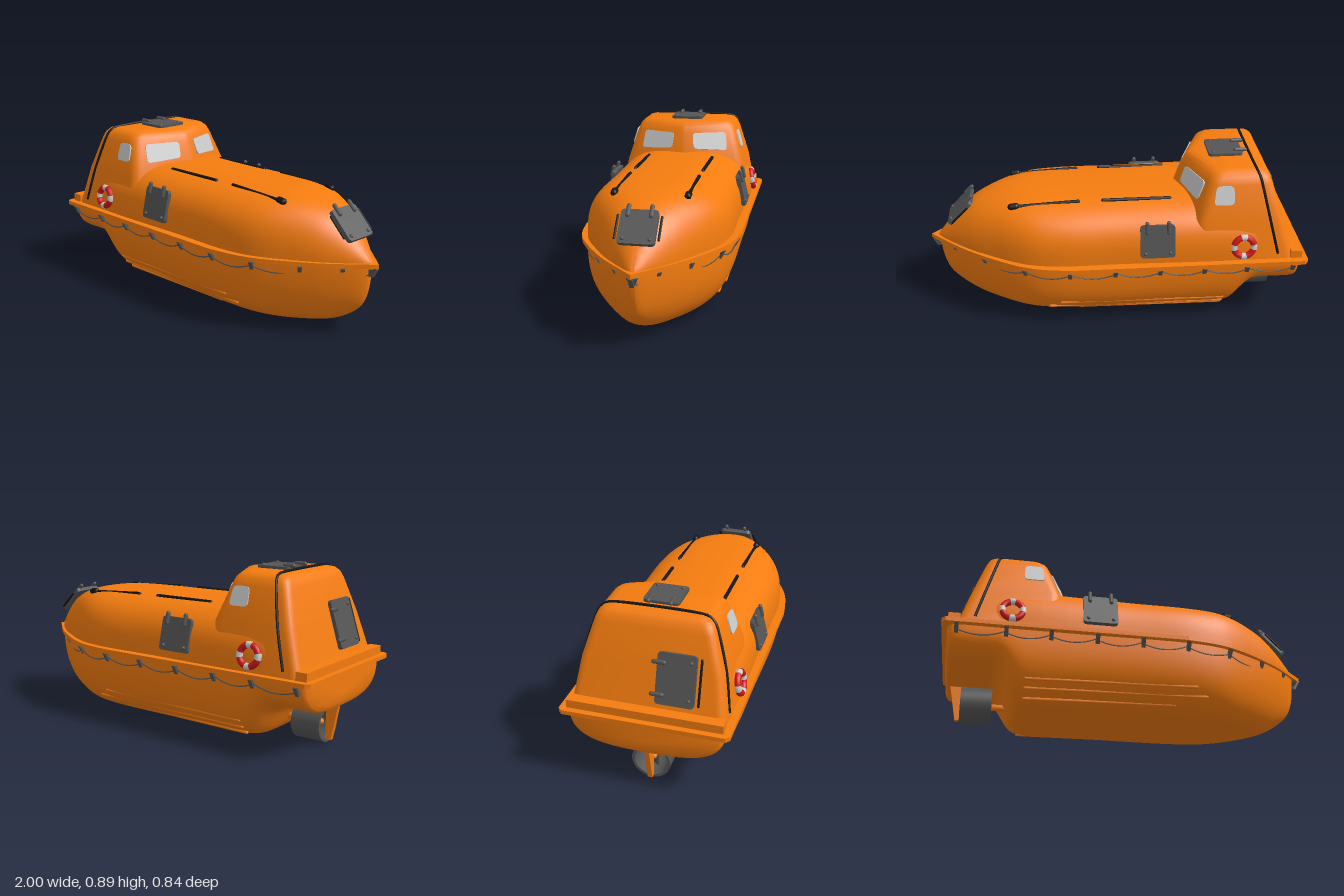
import * as THREE from 'three';
import { toCreasedNormals } from 'three/addons/utils/BufferGeometryUtils.js';

const V = (x, y, z) => new THREE.Vector3(x, y, z);
const mat = (color) => new THREE.MeshStandardMaterial({ color, side: THREE.DoubleSide });
const orange = mat(0xf57c0f), dark = mat(0x555555), black = mat(0x151515);
const glass = mat(0xcccccc), red = mat(0xd01818), white = mat(0xdddddd);

function add(parent, name, geometry, material) {
  const m = new THREE.Mesh(geometry, material);
  m.name = name;
  parent.add(m);
  return m;
}

// Skin over a row of closed rings, with flat end caps
function loft(rings, crease = 0.6) {
  const n = rings[0].length, pos = [], idx = [];
  rings.forEach((r) => r.forEach((p) => pos.push(p.x, p.y, p.z)));
  for (let i = 0; i < rings.length - 1; i++) {
    for (let j = 0; j < n; j++) {
      const a = i * n + j, b = i * n + (j + 1) % n;
      idx.push(a, b, b + n, a, b + n, a + n);
    }
  }
  [0, rings.length - 1].forEach((k) => {
    const c = V(0, 0, 0);
    rings[k].forEach((p) => c.addScaledVector(p, 1 / n));
    const ci = pos.length / 3;
    pos.push(c.x, c.y, c.z);
    for (let j = 0; j < n; j++) {
      const a = k * n + j, b = k * n + (j + 1) % n;
      if (k === 0) idx.push(ci, b, a); else idx.push(ci, a, b);
    }
  });
  const g = new THREE.BufferGeometry();
  g.setAttribute('position', new THREE.Float32BufferAttribute(pos, 3));
  g.setIndex(idx);
  return toCreasedNormals(g, crease);
}

// Shell of squarish half-ovals; each station is [x, half width, extreme height]
function shell(stations, up) {
  const pts = new THREE.CatmullRomCurve3(stations.map((s) => V(...s)), false, 'centripetal').getPoints(stations.length * 6);
  return loft(pts.map(({ x, y: w, z: h }) => {
    const e = 2 / THREE.MathUtils.lerp(3, 2, THREE.MathUtils.smoothstep(x, 0.4, 0.95));
    return Array.from({ length: 41 }, (_, k) => {
      const a = (k / 40) * Math.PI, c = Math.cos(a);
      const z = Math.sign(c) * Math.abs(c) ** e * Math.max(w, 0.0005);
      return V(x, 0.39 + (h - 0.39) * Math.max(Math.sin(a), 0) ** e, up ? -z : z);
    });
  }));
}

// Horizontal ring with rounded corners for the cabin
function cabinRing([y, w, xb, xs, xf]) {
  const c = [V(xf, y, 0), V(xs, y, -w), V(xb, y, -w), V(xb, y, w), V(xs, y, w)];
  return c.flatMap((p, i) => {
    const r = i ? 0.045 : 0.008;
    const toward = (q) => p.clone().add(q.clone().sub(p).setLength(r));
    return new THREE.QuadraticBezierCurve3(toward(c[(i + 4) % 5]), p, toward(c[(i + 1) % 5])).getPoints(5);
  });
}

function roundedPlate(corners, r, depth) {
  const s = new THREE.Shape(), n = corners.length;
  const p = corners.map((c) => new THREE.Vector2(...c));
  p.forEach((q, i) => {
    const toward = (o) => q.clone().add(o.clone().sub(q).setLength(r));
    const a = toward(p[(i + n - 1) % n]), b = toward(p[(i + 1) % n]);
    if (i) s.lineTo(a.x, a.y); else s.moveTo(a.x, a.y);
    s.quadraticCurveTo(q.x, q.y, b.x, b.y);
  });
  s.closePath();
  return new THREE.ExtrudeGeometry(s, { depth, bevelEnabled: false, curveSegments: 5 }).translate(0, 0, -depth / 2);
}
const rect = (w, h) => [[-w / 2, -h / 2], [w / 2, -h / 2], [w / 2, h / 2], [-w / 2, h / 2]];

// Sets an object on a surface: local z along the normal, local y along up
function place(obj, p, normal, up) {
  const z = normal.clone().normalize(), x = up.clone().cross(z).normalize();
  obj.quaternion.setFromRotationMatrix(new THREE.Matrix4().makeBasis(x, z.clone().cross(x), z));
  obj.position.copy(p);
  return obj;
}

function rod(parent, name, a, b, r, material) {
  const d = b.clone().sub(a);
  const m = add(parent, name, new THREE.CapsuleGeometry(r, d.length(), 4, 8), material);
  m.position.copy(a).lerp(b, 0.5);
  m.quaternion.setFromUnitVectors(V(0, 1, 0), d.normalize());
}

function hatch(parent, name, w, h, p, normal, up, bars = []) {
  const g = new THREE.Group();
  g.name = name;
  add(g, 'hatchPlate', roundedPlate(rect(w, h), 0.02, 0.022), dark);
  [-1, 1].forEach((s) => {
    rod(g, 'hatchHinge', V(s * w * 0.31, h / 2 - 0.035, 0.016), V(s * w * 0.31, h / 2 + 0.015, 0.016), 0.011, dark);
    add(g, 'hatchBolt', new THREE.SphereGeometry(0.01, 10, 6), dark).position.set(s * w * 0.36, -h * 0.36, 0.011);
  });
  bars.forEach(([x1, y1, x2, y2]) => rod(g, 'grabBar', V(x1, y1, 0), V(x2, y2, 0), 0.006, black));
  parent.add(place(g, p, normal, up));
}

export function createModel() {
  const boat = new THREE.Group();
  boat.name = 'lifeboat';

  // Hull, canopy and cabin
  add(boat, 'hull', shell([
    [-0.97, 0.345, 0.23], [-0.955, 0.375, 0.205], [-0.93, 0.385, 0.2], [-0.74, 0.385, 0.196], [-0.7, 0.385, 0.165],
    [-0.62, 0.385, 0.04], [-0.58, 0.385, 0.018], [-0.3, 0.385, 0.012], [0.28, 0.385, 0.012], [0.45, 0.355, 0.015],
    [0.6, 0.285, 0.025], [0.75, 0.195, 0.055], [0.85, 0.12, 0.11], [0.91, 0.065, 0.17], [0.94, 0.03, 0.25], [0.957, 0, 0.385],
  ], false), orange);
  add(boat, 'canopy', shell([
    [-0.8, 0.345, 0.67], [-0.74, 0.374, 0.686], [0, 0.376, 0.688], [0.3, 0.376, 0.686], [0.45, 0.352, 0.683], [0.55, 0.312, 0.674],
    [0.66, 0.25, 0.65], [0.75, 0.195, 0.612], [0.83, 0.135, 0.55], [0.9, 0.075, 0.475], [0.945, 0.03, 0.42], [0.965, 0, 0.393],
  ], true), orange);
  add(boat, 'cabin', loft([
    [0.39, 0.385, -0.93, -0.42, -0.3], [0.62, 0.348, -0.86, -0.42, -0.305], [0.8, 0.295, -0.805, -0.485, -0.365],
    [0.835, 0.28, -0.79, -0.498, -0.38], [0.855, 0.258, -0.772, -0.515, -0.4], [0.863, 0.225, -0.745, -0.54, -0.43],
  ].map(cabinRing)), orange);

  // Gunwale
  const bow = [[0.25, 0.42], [0.42, 0.392], [0.57, 0.33], [0.78, 0.195], [0.93, 0.065], [1, 0]].map((p) => new THREE.Vector2(...p));
  const edge = [new THREE.Vector2(-1, 0.4), new THREE.Vector2(-0.98, 0.42), ...new THREE.SplineCurve(bow).getPoints(30)];
  const far = edge.slice(0, -1).reverse().map((p) => new THREE.Vector2(p.x, -p.y));
  const rim = new THREE.ExtrudeGeometry(new THREE.Shape([...edge, ...far]), { depth: 0.022, bevelEnabled: false });
  add(boat, 'gunwale', rim.rotateX(Math.PI / 2), orange).position.y = 0.4;
  const edgeZ = (x) => {
    const i = Math.min(Math.max(edge.findIndex((p) => p.x >= x), 1), edge.length - 1), a = edge[i - 1], b = edge[i];
    return THREE.MathUtils.lerp(a.y, b.y, (x - a.x) / (b.x - a.x));
  };
  add(boat, 'sternSill', new THREE.BoxGeometry(0.06, 0.045, 0.77), orange).position.set(-0.94, 0.42, 0);

  // Black band over the cabin
  const half = [[-0.84, 0.43, 0.38], [-0.79, 0.62, 0.35], [-0.745, 0.8, 0.297], [-0.735, 0.837, 0.28], [-0.725, 0.858, 0.253], [-0.72, 0.865, 0.215]];
  const band = [...half.map((p) => V(...p)), ...half.slice().reverse().map(([x, y, z]) => V(x, y, -z))];
  add(boat, 'cabinBand', new THREE.TubeGeometry(new THREE.CatmullRomCurve3(band, false, 'centripetal'), 90, 0.007, 8), black);

  // Hatches on roof, bow and stern
  hatch(boat, 'roofHatch', 0.18, 0.18, V(-0.59, 0.866, 0), V(0, 1, 0), V(-1, 0, 0));
  hatch(boat, 'bowHatch', 0.18, 0.18, V(0.825, 0.57, 0), V(0.72, 0.7, 0), V(-0.7, 0.72, 0),
    [-1, 1].map((s) => [s * 0.105, -0.06, s * 0.105, 0.06]));
  hatch(boat, 'sternHatch', 0.25, 0.19, V(-0.878, 0.59, 0.135), V(-0.95, 0.3, 0), V(0, 0, -1), [[-0.11, -0.115, 0.11, -0.115]]);

  // Parts repeated on both sides
  const bracketX = [-0.925, -0.68, -0.455, -0.22, 0.015, 0.255, 0.495, 0.71, 0.875, 0.975];
  [1, -1].forEach((s) => {
    hatch(boat, 'sideHatch', 0.18, 0.175, V(-0.205, 0.528, s * 0.371), V(0, 0.24, s), V(0, 1, 0));

    // Windows
    const frontWindow = roundedPlate([[-0.1, s > 0 ? -0.042 : -0.058], [0.1, s > 0 ? -0.058 : -0.042], [0.1, 0.05], [-0.1, 0.05]].map(([x, y]) => [-x, y]).reverse(), 0.022, 0.01);
    boat.add(place(add(boat, 'frontWindow', frontWindow, glass), V(-0.406, 0.75, s * 0.152), V(0.0558, 0.0223, s * 0.0214), V(0, 1, 0)));
    const sideWindow = roundedPlate([[-0.05 - (s < 0 ? 0.008 : 0), -0.05], [0.05 + (s > 0 ? 0.008 : 0), -0.05], [0.045, 0.05], [-0.045, 0.05]], 0.025, 0.01);
    place(add(boat, 'sideWindow', sideWindow, glass), V(-0.553, 0.75, s * 0.311), V(0, 0.28, s * 0.96), V(0, 1, 0));

    // Life ring in red and white sections
    const ring = new THREE.Group();
    ring.name = 'lifeRing';
    for (let k = 0; k < 4; k++) {
      const q = (k * Math.PI) / 2;
      add(ring, 'ringRed', new THREE.TorusGeometry(0.052, 0.017, 10, 10, 1.05), red).rotation.z = q + 0.26;
      add(ring, 'ringWhite', new THREE.TorusGeometry(0.052, 0.0175, 10, 6, 0.53), white).rotation.z = q - 0.26;
    }
    boat.add(place(ring, V(-0.655, 0.483, s * 0.386), V(0, 0.18, s), V(0, 1, 0)));

    // Handrails on the canopy top
    rod(boat, 'topRail', V(-0.285, 0.677, s * 0.185), V(0.065, 0.677, s * 0.185), 0.01, black);
    rod(boat, 'topRail', V(0.195, 0.676, s * 0.185), V(0.54, 0.657, s * 0.185), 0.01, black);
    rod(boat, 'railEnd', V(0.52, 0.661, s * 0.185), V(0.545, 0.658, s * 0.185), 0.018, black);

    // Bilge strakes
    [[0.15, 0.346, 0.3], [0.11, 0.318, 0.36], [0.07, 0.276, 0.2]].forEach(([y, z, end]) =>
      rod(boat, 'bilgeStrake', V(-0.57, y - 0.015, s * (z - 0.01)), V(end, y, s * z), 0.009, orange));

    // Brackets and looped grab line below the gunwale
    bracketX.forEach((x, i) => {
      const dz = edgeZ(x + 0.01) - edgeZ(x - 0.01), out = V(-dz, 0, s * 0.02).normalize();
      const p = V(x, 0.354, s * edgeZ(x)).addScaledVector(out, -0.022);
      const bracket = add(boat, 'lineBracket', new THREE.BoxGeometry(0.02, 0.052, 0.016), dark);
      place(bracket, p, out.clone().add(V(0, -0.55, 0)), V(0, 1, 0));
      if (i === bracketX.length - 1) return;
      const x2 = bracketX[i + 1], line = [];
      for (let k = 0; k <= 8; k++) {
        const t = k / 8, lx = THREE.MathUtils.lerp(x, x2, t);
        line.push(V(lx - 0.01, 0.353 - 0.11 * t * (1 - t), s * Math.max(edgeZ(lx) - 0.025, 0)));
      }
      add(boat, 'grabLine', new THREE.TubeGeometry(new THREE.CatmullRomCurve3(line), 20, 0.0035, 5), dark);
    });
  });
  const stem = add(boat, 'stemBracket', new THREE.BoxGeometry(0.016, 0.052, 0.02), dark);
  stem.position.set(0.975, 0.354, 0);
  stem.rotation.z = -0.5;

  // Propeller in its nozzle, shaft and rudder
  const prof = [[0.084, -0.08], [0.098, -0.08], [0.098, 0.08], [0.084, 0.08], [0.084, -0.08]].map((p) => new THREE.Vector2(...p));
  const nozzle = toCreasedNormals(new THREE.LatheGeometry(prof, 36), 0.6).rotateZ(-Math.PI / 2);
  add(boat, 'propellerNozzle', nozzle, dark).position.set(-0.803, 0.1, 0);
  rod(boat, 'propellerShaft', V(-0.84, 0.1, 0), V(-0.6, 0.1, 0), 0.018, orange);
  for (let k = 0; k < 4; k++) {
    const blade = add(boat, 'propellerBlade', new THREE.BoxGeometry(0.008, 0.07, 0.04).rotateY(0.6).translate(0, 0.045, 0), dark);
    blade.position.set(-0.8, 0.1, 0);
    blade.rotation.x = (k * Math.PI) / 2;
  }
  const rudder = new THREE.Shape([[-0.945, 0.22], [-0.905, 0.015], [-0.875, 0.015], [-0.875, 0.22]].map((p) => new THREE.Vector2(...p)));
  add(boat, 'rudder', new THREE.ExtrudeGeometry(rudder, { depth: 0.024, bevelEnabled: false }).translate(0, 0, -0.012), orange);
  return boat;
}
